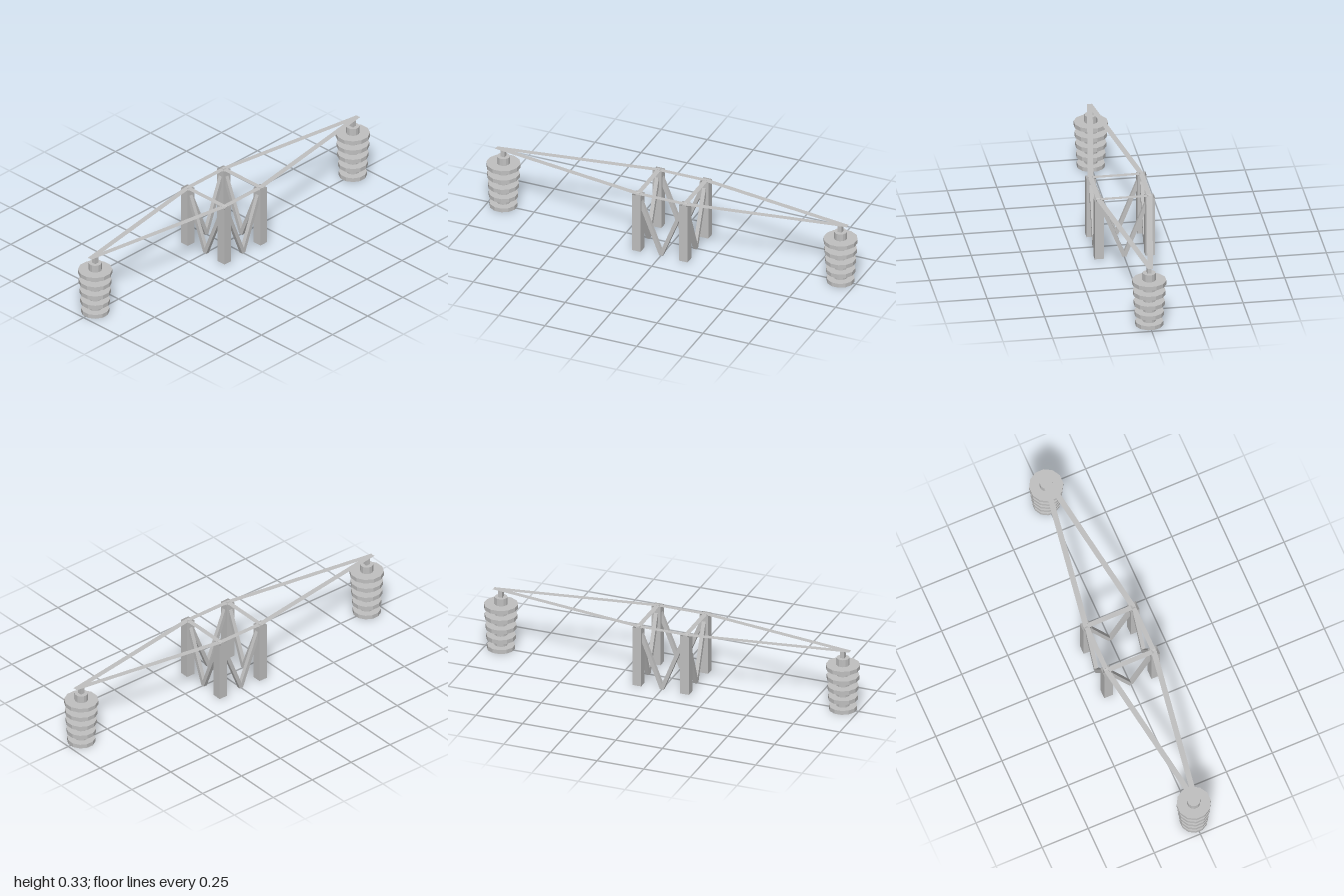
import * as THREE from 'three';

const steel = new THREE.MeshStandardMaterial({ color: 0xc0c0c0, side: THREE.DoubleSide, flatShading: true });
steel.name = 'grey steel';

const HALF = 0.128;  // half spacing of the posts
const TOP = 0.324;   // height of the flat straps
const POLE_X = 0.917;

function add(parent, geometry, name, x = 0, y = 0, z = 0) {
  const mesh = new THREE.Mesh(geometry, steel);
  mesh.name = name;
  mesh.position.set(x, y, z);
  parent.add(mesh);
  return mesh;
}

// Flat horizontal strap between two points on the ground plan
function addStrap(parent, name, x1, z1, x2, z2, width) {
  const dx = x2 - x1, dz = z2 - z1;
  const geometry = new THREE.PlaneGeometry(Math.hypot(dx, dz), width).rotateX(-Math.PI / 2);
  const strap = add(parent, geometry, name, (x1 + x2) / 2, TOP, (z1 + z2) / 2);
  strap.rotation.y = -Math.atan2(dz, dx);
}

// Square tube without end caps
function openTube(size, height) {
  const geometry = new THREE.CylinderGeometry(size / Math.SQRT2, size / Math.SQRT2, height, 4, 1, true);
  return geometry.rotateY(Math.PI / 4);
}

// Stack of discs on a shaft, with a square pin on top
function createInsulator() {
  const group = new THREE.Group();
  group.name = 'insulator';
  const round = (r, h) => new THREE.CylinderGeometry(r, r, h, 12).rotateY(Math.PI / 12);
  add(group, round(0.033, 0.284), 'shaft', 0, 0.143, 0);
  add(group, new THREE.BoxGeometry(0.022, 0.04, 0.022), 'pin', 0, 0.304, 0);
  for (let i = 0; i < 5; i++) {
    add(group, round(0.0705 + 0.0039 * i, 0.0215), 'disc', 0, 0.011 + 0.0561 * i, 0);
  }
  return group;
}

// One side of the frame: two braces meeting in a V
function createBracedSide() {
  const group = new THREE.Group();
  group.name = 'bracedSide';
  const low = 0.004, high = 0.323;
  for (const s of [-1, 1]) {
    const length = Math.hypot(HALF, high - low);
    const brace = add(group, new THREE.BoxGeometry(0.02, length, 0.02), 'brace', s * HALF / 2, (low + high) / 2, HALF);
    brace.rotation.z = -s * Math.atan2(HALF, high - low);
  }
  addStrap(group, 'topStrap', -HALF - 0.012, HALF, HALF + 0.012, HALF, 0.025);
  return group;
}

export function createModel() {
  const model = new THREE.Group();
  model.name = 'insulatorFrame';

  for (let i = 0; i < 4; i++) {
    const side = createBracedSide();
    side.rotation.y = i * Math.PI / 2;
    model.add(side);
  }

  for (const sx of [-1, 1]) {
    for (const sz of [-1, 1]) {
      add(model, openTube(0.047, 0.319), 'post', sx * HALF, 0.1645, sz * HALF);
      // Long straps that cross just beyond the insulator
      addStrap(model, 'longStrap', sx * HALF, sz * HALF, sx * 0.955, -sz * 0.001, 0.028);
    }
    const insulator = createInsulator();
    insulator.position.x = sx * POLE_X;
    model.add(insulator);
  }
  return model;
}
